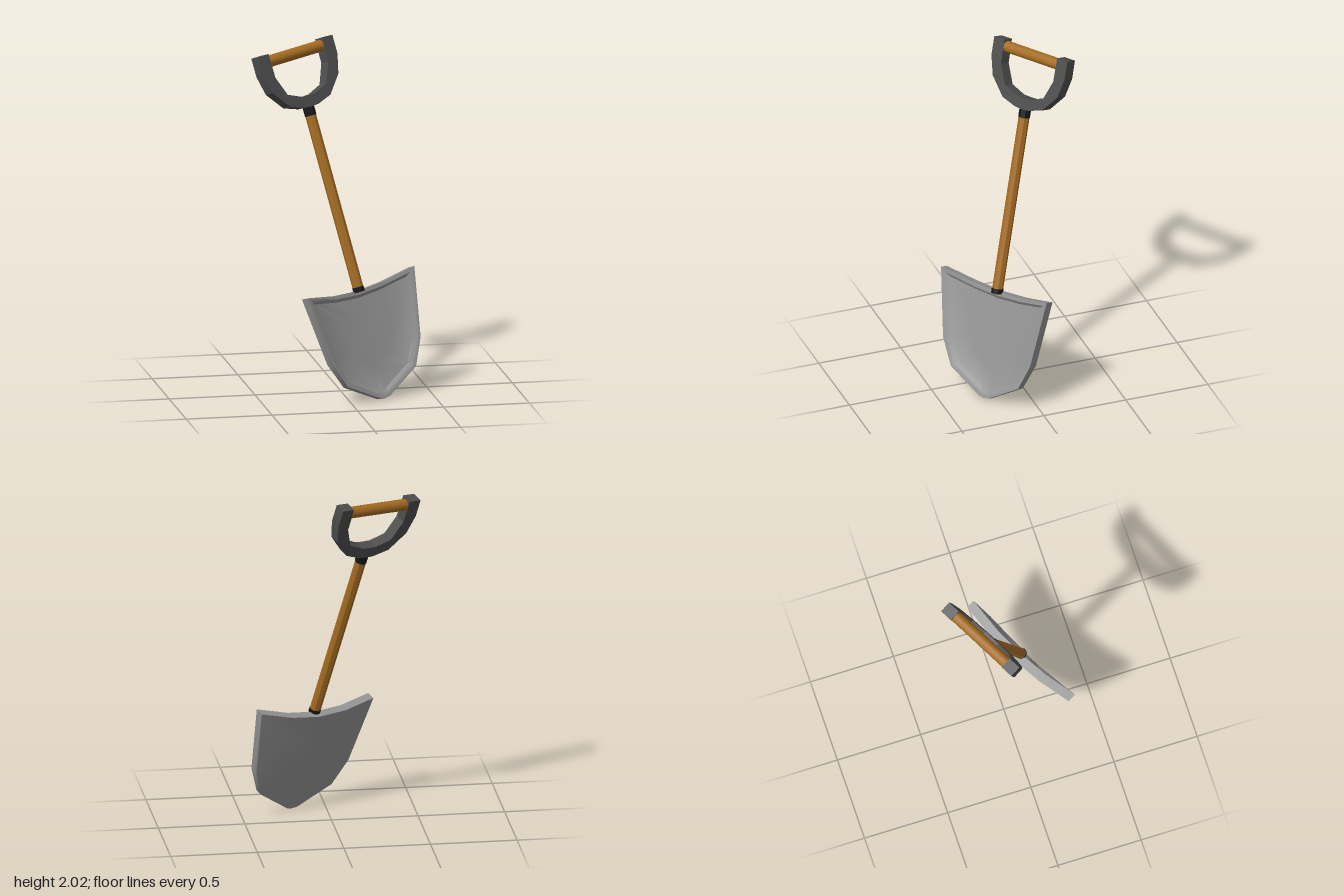
import * as THREE from 'three';
import { toCreasedNormals } from 'three/addons/utils/BufferGeometryUtils.js';

const mat = (name, color) => {
  const m = new THREE.MeshStandardMaterial({ color });
  m.name = name;
  return m;
};
const steel = mat('steel', 0x949494);
const wood = mat('wood', 0xa56c22);
const darkGrey = mat('dark grey', 0x4d4d4d);
const black = mat('black', 0x141414);

const AXIS_Z = 0.338; // depth of the shaft axis in the tool's own frame

// Points of the right half, plus their mirror image, as one closed loop
const mirrored = (half) => [
  ...half,
  ...half.slice().reverse().filter(([x]) => x > 0).map(([x, y]) => [-x, y]),
];

function add(group, name, geometry, material, y = 0, z = AXIS_Z) {
  const mesh = new THREE.Mesh(geometry, material);
  mesh.name = name;
  mesh.position.set(0, y, z);
  group.add(mesh);
  return mesh;
}

// Dished blade: scaled copies of one outline joined from front centre to back centre
function bladeGeometry() {
  const outline = mirrored([
    [0, 0.533], [0.19, 0.545], [0.4, 0.578], [0.33, 0.178], [0.255, 0.024], [0.035, -0.095], [0, -0.1],
  ]).reverse(); // counter-clockwise from the front
  const midY = 0.25;
  const dish = (x, y) => 0.338 + 0.04 * (x / 0.4) ** 2 - 0.025 * (0.578 - y) / 0.678;
  const thick = (y) => 0.032 + 0.021 * Math.min(1, Math.max(0, (y + 0.1) / 0.3));
  const ring = (scale, recess, back) => outline.map(([px, py]) => {
    const x = px * scale, y = midY + (py - midY) * scale;
    return [x, y, dish(x, y) - (back ? thick(y) : recess)];
  });
  const rings = [
    ring(0, 0.018), ring(0.45, 0.018), ring(0.86, 0.018), ring(0.92, 0), ring(1, 0), // front
    ring(1, 0, true), ring(0.5, 0, true), ring(0, 0, true), // back
  ];
  const pos = [];
  const n = outline.length;
  for (let r = 0; r < rings.length - 1; r++) {
    for (let i = 0; i < n; i++) {
      const j = (i + 1) % n;
      const a = rings[r][i], b = rings[r][j], c = rings[r + 1][j], d = rings[r + 1][i];
      if (r < rings.length - 2) pos.push(...a, ...d, ...c);
      if (r > 0) pos.push(...a, ...c, ...b);
    }
  }
  const g = new THREE.BufferGeometry();
  g.setAttribute('position', new THREE.Float32BufferAttribute(pos, 3));
  return toCreasedNormals(g, 0.75);
}

// U-shaped yoke with square arms
function yokeGeometry() {
  const outer = [[0, 1.622], [0.05, 1.625], [0.15, 1.655], [0.245, 1.757], [0.277, 1.87], [0.277, 1.98]];
  const inner = [[0.2, 1.98], [0.198, 1.84], [0.145, 1.725], [0.05, 1.69], [0, 1.688]];
  const pts = mirrored([...outer, ...inner]);
  // keep the two arms as one open U: outer right, inner right, inner left, outer left
  const shape = new THREE.Shape(pts.map(([x, y]) => new THREE.Vector2(x, y)));
  const g = new THREE.ExtrudeGeometry(shape, { depth: 0.068, bevelEnabled: false });
  g.translate(0, 0, -0.034);
  return toCreasedNormals(g, 0.3);
}

export function createModel() {
  const model = new THREE.Group();
  model.name = 'shovel';

  const tool = new THREE.Group();
  tool.name = 'leaningTool';
  model.add(tool);

  // Blade
  add(tool, 'blade', bladeGeometry(), steel, 0, 0);

  // Shaft and its two collars
  const shaftBottom = 0.55, shaftTop = 1.575;
  const shaft = new THREE.CylinderGeometry(0.032, 0.032, shaftTop - shaftBottom, 8);
  add(tool, 'shaft', toCreasedNormals(shaft, 0.3), wood, (shaftTop + shaftBottom) / 2);
  const collar = (h) => toCreasedNormals(new THREE.CylinderGeometry(0.034, 0.034, h, 8), 0.3);
  add(tool, 'upperCollar', collar(0.06), black, 1.602);
  add(tool, 'lowerCollar', collar(0.03), black, 0.54);

  // Handle
  add(tool, 'handleYoke', yokeGeometry(), darkGrey);
  const grip = new THREE.CylinderGeometry(0.034, 0.034, 0.42, 12);
  grip.rotateZ(Math.PI / 2);
  add(tool, 'grip', grip, wood, 1.938);

  // Lean the tool: its long axis, width and facing direction
  const up = new THREE.Vector3(-0.222, 0.945, -0.241).normalize();
  const side = new THREE.Vector3(0.876, 0.075, -0.476).projectOnPlane(up).normalize();
  const face = new THREE.Vector3().crossVectors(side, up);
  tool.quaternion.setFromRotationMatrix(new THREE.Matrix4().makeBasis(side, up, face));
  tool.position.copy(side).multiplyScalar(0.06);

  return model;
}
